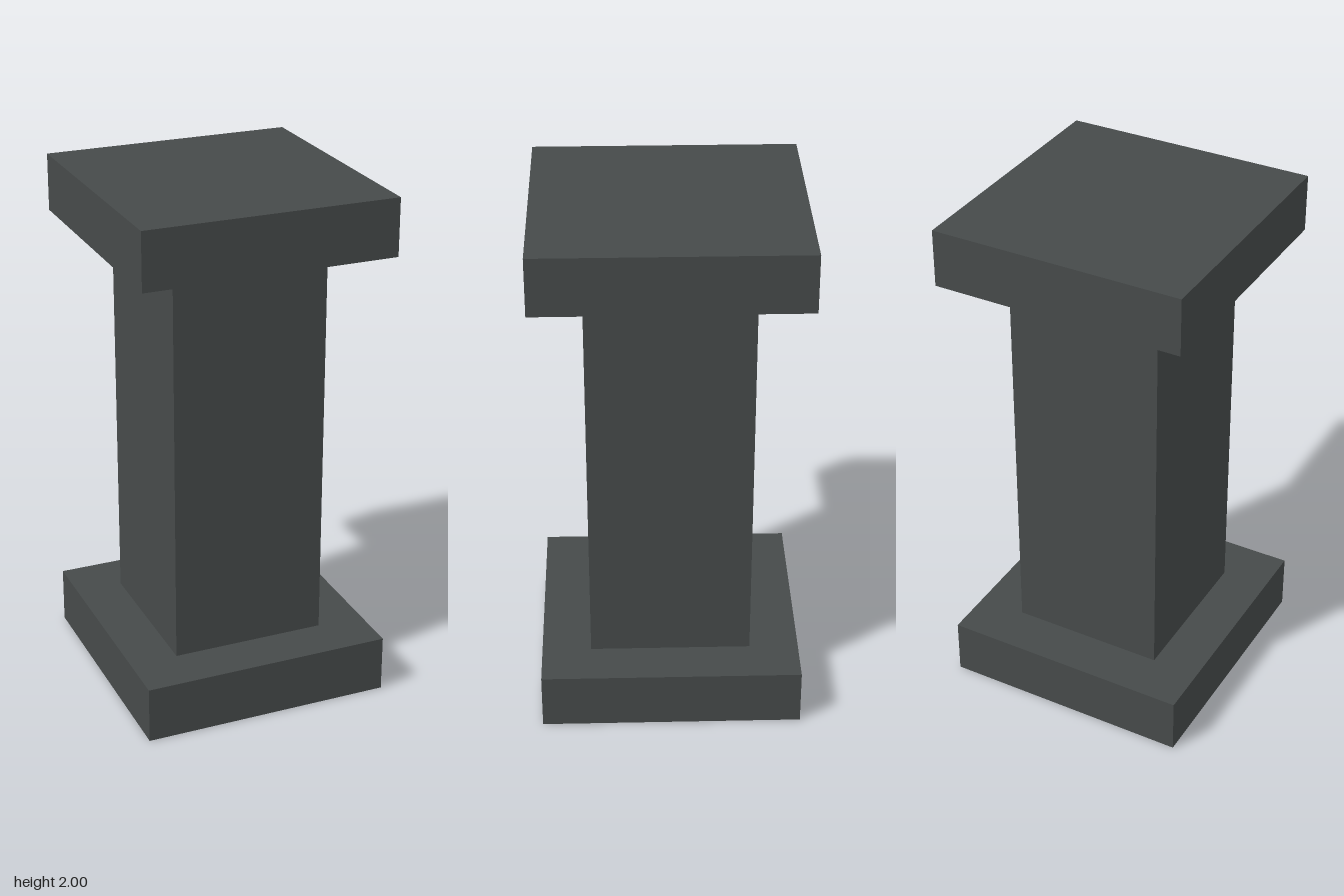
import * as THREE from 'three';

export function createModel() {
  const group = new THREE.Group();
  group.name = 'pillar';

  const stone = new THREE.MeshStandardMaterial({ color: 0x464a4a });
  stone.name = 'darkGreyStone';

  // Adds a block whose underside sits at the given height
  function addBlock(name, width, height, depth, bottom) {
    const mesh = new THREE.Mesh(new THREE.BoxGeometry(width, height, depth), stone);
    mesh.name = name;
    mesh.position.y = bottom + height / 2;
    group.add(mesh);
  }

  const slab = 0.22;
  addBlock('base', 0.97, slab, 1, 0);
  addBlock('shaft', 0.6, 2 - 2 * slab, 0.62, slab);
  addBlock('capital', 0.97, slab, 1, 2 - slab);

  return group;
}
